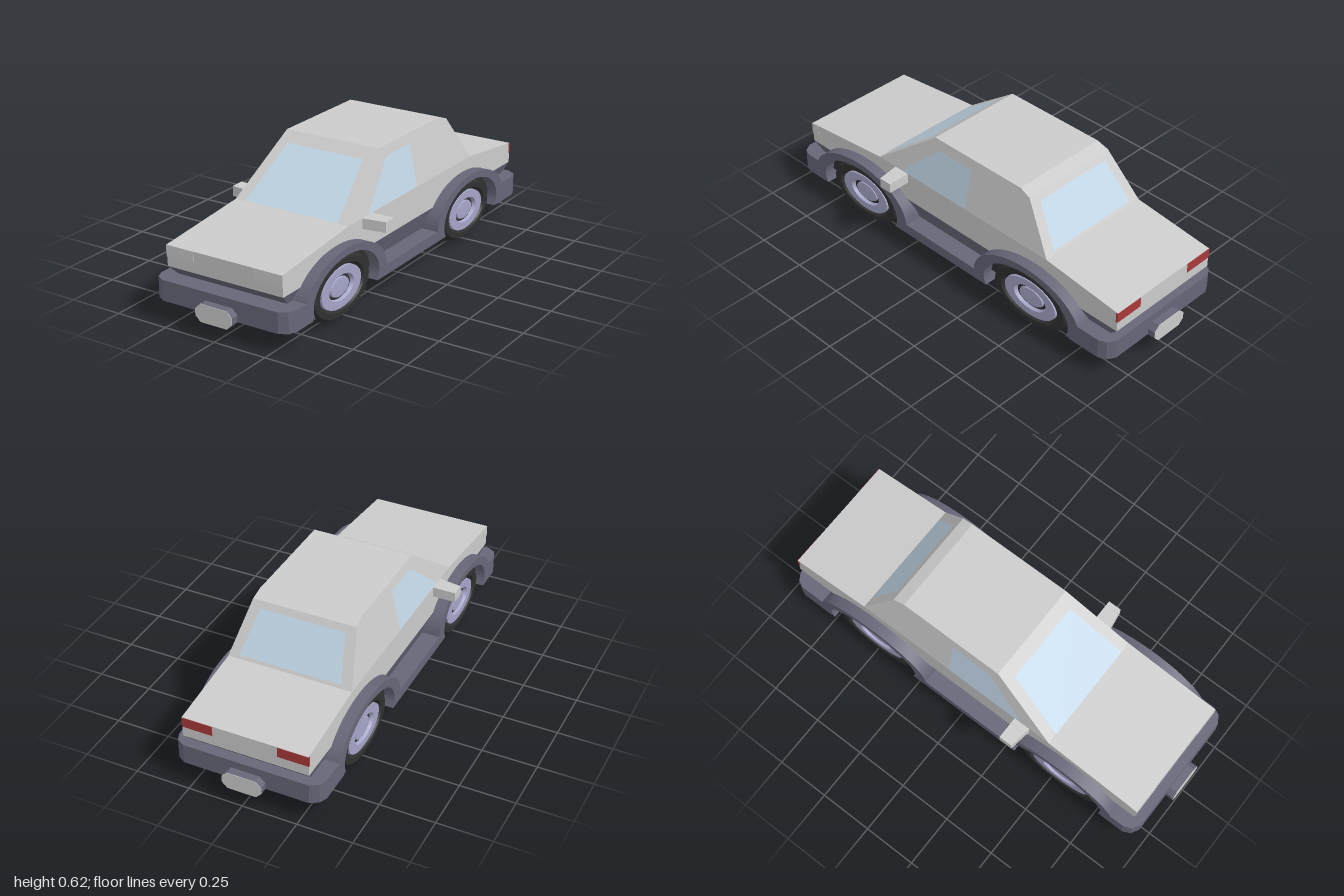
import * as THREE from 'three';
import { toCreasedNormals } from 'three/addons/utils/BufferGeometryUtils.js';

const paint = (color, extra = {}) => new THREE.MeshStandardMaterial({ color, ...extra });
const BODY = paint(0xcccccc);
const TRIM = paint(0x666678);
const TYRE = paint(0x303030);
const RIM = paint(0xa5a5c8);
const RED = paint(0xa83838);
const GLASS = paint(0xc2d6e6, { side: THREE.DoubleSide });

const WHEEL_Z = [0.543, -0.496];
const AXLE_Y = 0.145;
const FLOOR_Y = 0.097;

function add(group, name, geometry, material) {
  const mesh = new THREE.Mesh(geometry, material);
  mesh.name = name;
  group.add(mesh);
  return mesh;
}

// Extrudes a side outline of [z, y] points between two x positions
function sideExtrude(points, x0, x1) {
  const shape = new THREE.Shape(points.map(([z, y]) => new THREE.Vector2(z, y)));
  const g = new THREE.ExtrudeGeometry(shape, { depth: x1 - x0, bevelEnabled: false });
  return g.rotateY(-Math.PI / 2).translate(x1, 0, 0);
}

// A full-width side outline whose half width depends on height
function taperedBody(points, halfWidth) {
  const g = sideExtrude(points, -1, 1);
  const p = g.attributes.position;
  for (let i = 0; i < p.count; i++) p.setX(i, Math.sign(p.getX(i)) * halfWidth(p.getY(i)));
  g.computeVertexNormals();
  return g;
}

// Points on an ellipse in the side plane, angle 0 pointing to the front
function arc(z, rz, ry, from, to, n = 20) {
  return Array.from({ length: n + 1 }, (_, i) => {
    const a = from + ((to - from) * i) / n;
    return [z + rz * Math.cos(a), AXLE_Y + ry * Math.sin(a)];
  });
}

// Flat four-cornered panel
function panel(corners) {
  const g = new THREE.BufferGeometry();
  g.setAttribute('position', new THREE.Float32BufferAttribute(corners.flat(), 3));
  g.setIndex([0, 1, 2, 0, 2, 3]);
  g.computeVertexNormals();
  return g;
}

function box(w, h, d, x, y, z) {
  return new THREE.BoxGeometry(w, h, d).translate(x, y, z);
}

// Bumper end seen from above, with clipped corners; s = 1 front, -1 rear
function bumper(s, zInner) {
  const half = [[0.34, zInner], [0.34, 0.905], [0.325, 0.94], [0.288, 0.962]];
  const outline = [...half, ...half.map(([x, z]) => [-x, z]).reverse()];
  const shape = new THREE.Shape(outline.map(([x, z]) => new THREE.Vector2(x, s * z)));
  return new THREE.ExtrudeGeometry(shape, { depth: 0.19 - FLOOR_Y, bevelEnabled: false })
    .rotateX(Math.PI / 2).translate(0, 0.19, 0);
}

// Eight-sided plate outline, extruded along z
function plate(w, h, depth, z) {
  const c = 0.025;
  const pts = [[w, -h + c], [w, h - c], [w - c, h], [c - w, h], [-w, h - c], [-w, c - h], [c - w, -h], [w - c, -h]];
  const shape = new THREE.Shape(pts.map((p) => new THREE.Vector2(...p)));
  return new THREE.ExtrudeGeometry(shape, { depth, bevelEnabled: false }).translate(0, 0.113, z);
}

// Lathe about the wheel axle; points are [radius, sideways offset]
function axleLathe(points) {
  const g = new THREE.LatheGeometry(points.map((p) => new THREE.Vector2(...p)), 40);
  return toCreasedNormals(g.rotateZ(-Math.PI / 2), 0.35);
}

function makeWheel() {
  const wheel = new THREE.Group();
  wheel.name = 'wheel';
  add(wheel, 'tyre', axleLathe([
    [0, -0.092], [0.2, -0.092], [0.236, -0.041], [0.236, 0.041], [0.2, 0.092], [0.165, 0.092], [0.15, 0.075], [0, 0.07],
  ]), TYRE);
  add(wheel, 'rim', axleLathe([
    [0.148, 0.07], [0.146, 0.088], [0.092, 0.088], [0.082, 0.07], [0.07, 0.07], [0.066, 0.08], [0, 0.084],
  ]), RIM);
  wheel.scale.set(1, 0.145 / 0.236, 1);
  return wheel;
}

export function createModel() {
  const car = new THREE.Group();
  car.name = 'car';

  // Main shell and cabin
  add(car, 'lowerBody', taperedBody([
    [0.922, 0.237], [0.926, 0.333], [0.455, 0.38], [-0.566, 0.38], [-0.957, 0.333], [-0.957, 0.237],
  ], () => 0.288), BODY);
  add(car, 'cabin', taperedBody([
    [0.455, 0.38], [0.142, 0.616], [-0.365, 0.616], [-0.42, 0.596], [-0.566, 0.38],
  ], (y) => 0.288 - ((y - 0.38) / 0.236) * 0.052), BODY);

  // Dark tapering underbody and floor
  add(car, 'underbody', taperedBody([
    [0.922, 0.237], [-0.957, 0.237], [-0.865, 0.14], [0.825, 0.14],
  ], (y) => 0.288 - (0.237 - y) * 0.34), TRIM);
  add(car, 'floor', box(0.52, 0.048, 1.7, 0, FLOOR_Y + 0.024, 0), TRIM);

  // Bumpers and plates
  add(car, 'frontBumper', bumper(1, 0.79), TRIM);
  add(car, 'rearBumper', bumper(-1, 0.745), TRIM);
  add(car, 'frontPlateMount', plate(0.091, 0.04, 0.038, 0.96), TRIM);
  add(car, 'frontPlate', plate(0.091, 0.04, 0.003, 0.997), BODY);
  add(car, 'rearPlateMount', plate(0.091, 0.04, 0.038, -0.998), TRIM);
  add(car, 'rearPlate', plate(0.091, 0.04, 0.003, -1), BODY);

  // Sill and both wheel arches in one side outline
  const low = -Math.asin((AXLE_Y - FLOOR_Y) / 0.15);
  const [zf, zr] = WHEEL_Z;
  const sideTrim = [
    ...arc(zf, 0.305, 0.181, 0, Math.PI),
    ...arc(zr, 0.305, 0.181, 0, Math.PI),
    ...arc(zr, 0.245, 0.15, Math.PI - low, low),
    ...arc(zf, 0.245, 0.15, Math.PI - low, low),
  ];
  // Windscreen and rear window follow the sloping cabin ends
  const frontZ = (y) => 0.455 - ((y - 0.38) / 0.236) * 0.313 + 0.004;
  const rearZ = (y) => -0.566 + ((y - 0.38) / 0.216) * 0.146 - 0.004;
  const endWindow = (z, x0, y0, x1, y1) => panel([
    [-x0, y0, z(y0)], [x0, y0, z(y0)], [x1, y1, z(y1)], [-x1, y1, z(y1)],
  ]);
  add(car, 'windscreen', endWindow(frontZ, 0.236, 0.382, 0.194, 0.577), GLASS);
  add(car, 'rearWindow', endWindow(rearZ, 0.236, 0.395, 0.198, 0.57), GLASS);

  for (const s of [1, -1]) {
    const side = s > 0 ? 'left' : 'right';
    const x0 = s > 0 ? 0.25 : -0.34;
    add(car, side + 'SillAndArches', toCreasedNormals(sideExtrude(sideTrim, x0, x0 + 0.09), 0.5), TRIM);

    // Side window
    const sx = (y) => s * (0.288 - ((y - 0.38) / 0.236) * 0.052 + 0.002);
    add(car, side + 'Window', panel([
      [sx(0.383), 0.383, 0.31], [sx(0.383), 0.383, -0.09], [sx(0.572), 0.572, -0.09], [sx(0.572), 0.572, 0.1],
    ]), GLASS);

    // Lamps
    add(car, side + 'Headlamp', box(0.141, 0.048, 0.04, s * 0.2185, 0.308, 0.907), BODY);
    add(car, side + 'TailLamp', box(0.141, 0.046, 0.01, s * 0.2185, 0.308, -0.954), RED);

    // Door mirror, its front narrowing outwards
    const mirror = box(0.112, 0.047, 0.08, s * 0.338, 0.3565, 0.312);
    const p = mirror.attributes.position;
    for (let i = 0; i < p.count; i++) {
      if (Math.abs(p.getX(i)) > 0.35 && p.getZ(i) > 0.32) p.setZ(i, 0.335);
    }
    mirror.computeVertexNormals();
    add(car, side + 'Mirror', mirror, BODY);

    // Wheels and the dark wells behind them
    for (const z of WHEEL_Z) {
      const wx = s > 0 ? 0.1 : -0.292;
      add(car, 'wheelWell', sideExtrude(arc(z, 0.246, 0.151, 0, Math.PI), wx, wx + 0.192), TYRE);
      const wheel = makeWheel();
      wheel.position.set(s * 0.224, AXLE_Y, z);
      if (s < 0) wheel.rotation.y = Math.PI;
      car.add(wheel);
    }
  }
  return car;
}
